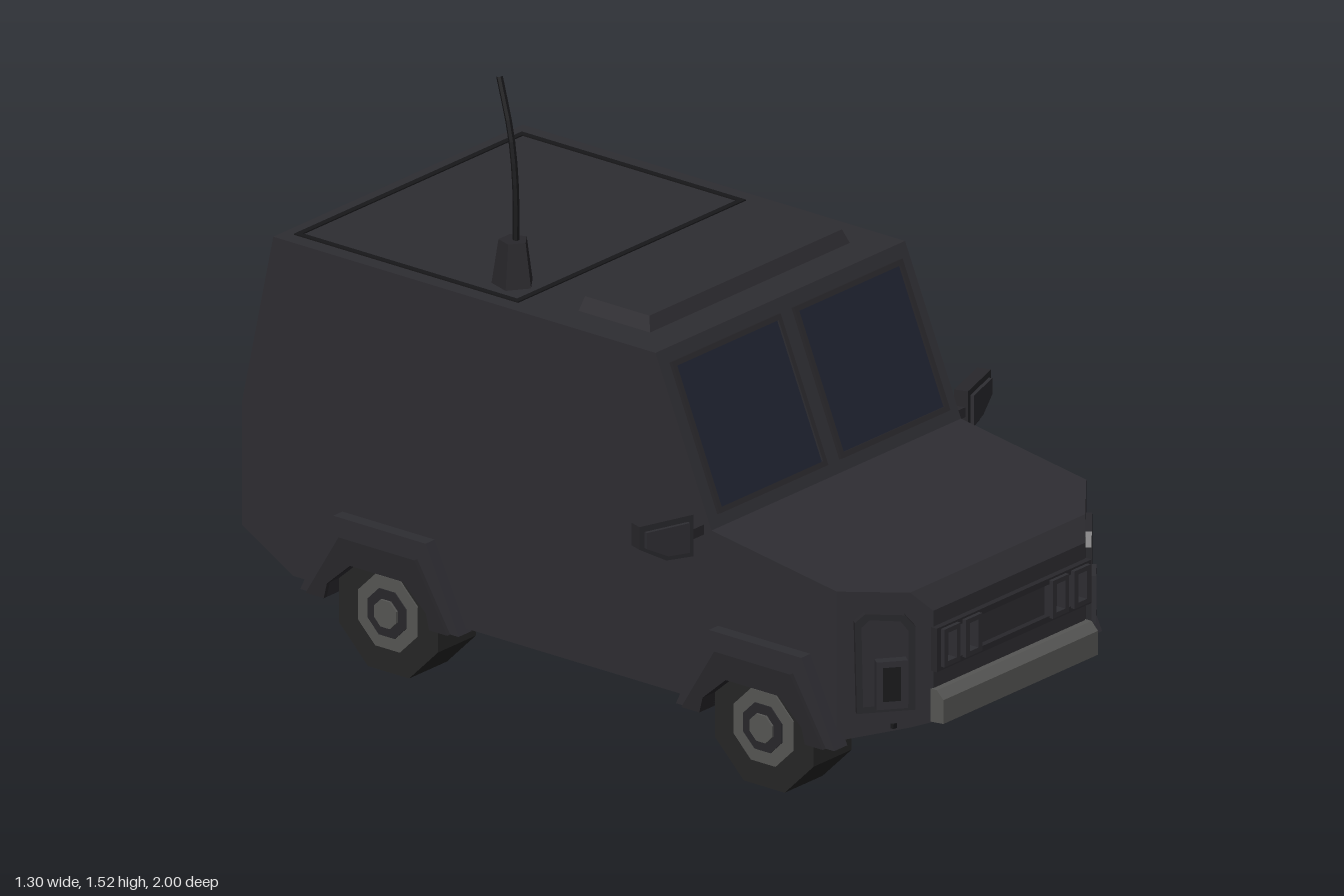
import * as THREE from 'three';

const mat = (color) => new THREE.MeshStandardMaterial({ color, flatShading: true });
const BODY = mat(0x2e2d32), TRIM = mat(0x28272b), GLASS = mat(0x1f2230), TYRE = mat(0x262626),
  STEEL = mat(0x565654), HANDLE = mat(0x72726e), BLACK = mat(0x18181a);

function add(parent, name, geo, material, x = 0, y = 0, z = 0) {
  const m = new THREE.Mesh(geo, material);
  m.name = name;
  m.position.set(x, y, z);
  parent.add(m);
  return m;
}
const box = (w, h, d) => new THREE.BoxGeometry(w, h, d);
const shapeOf = (pts) => new THREE.Shape(pts.map(([x, y]) => new THREE.Vector2(x, y)));
const rect = (x0, y0, x1, y1) => [[x0, y0], [x1, y0], [x1, y1], [x0, y1]];

function extrude(pts, depth, hole) {
  const s = shapeOf(pts);
  if (hole) s.holes.push(shapeOf(hole));
  return new THREE.ExtrudeGeometry(s, { depth, bevelEnabled: false });
}
// Side profile in (z, y), extruded from x0 to x1
const sideExtrude = (pts, x0, x1, hole) =>
  extrude(pts, x1 - x0, hole).rotateY(-Math.PI / 2).translate(x1, 0, 0);

// Shrink an outline toward its middle by t
function inset(pts, t) {
  const axis = [0, 1].map((k) => {
    const v = pts.map((p) => p[k]), lo = Math.min(...v), hi = Math.max(...v);
    return [(lo + hi) / 2, 1 - (2 * t) / (hi - lo)];
  });
  return pts.map((p) => p.map((v, k) => axis[k][0] + (v - axis[k][0]) * axis[k][1]));
}

// Rectangular rings [halfWidth, y0, y1, z] joined along +z, both ends closed
function loft(rings) {
  const pos = [], idx = [];
  rings.forEach(([w, a, b, z]) => pos.push(-w, a, z, w, a, z, w, b, z, -w, b, z));
  for (let i = 0; i < rings.length - 1; i++)
    for (let j = 0; j < 4; j++) {
      const a = i * 4 + j, b = i * 4 + ((j + 1) % 4);
      idx.push(a, b, b + 4, a, b + 4, a + 4);
    }
  const e = (rings.length - 1) * 4;
  idx.push(0, 2, 1, 0, 3, 2, e, e + 1, e + 2, e, e + 2, e + 3);
  let g = new THREE.BufferGeometry();
  g.setAttribute('position', new THREE.Float32BufferAttribute(pos, 3));
  g.setIndex(idx);
  g = g.toNonIndexed();
  g.computeVertexNormals();
  return g;
}

// Framed pane facing local +z, with optional upright bars at the given x
function makeWindow(name, pts, bars = [], barY = [0, 0]) {
  const g = new THREE.Group();
  g.name = name;
  add(g, 'frame', extrude(pts, 0.009, inset(pts, 0.013)), TRIM);
  add(g, 'glass', extrude(inset(pts, 0.012), 0.003), GLASS);
  bars.forEach((x) => add(g, 'bar', box(0.026, barY[1] - barY[0], 0.012), BODY, x, (barY[0] + barY[1]) / 2, 0.005));
  return g;
}

// Octagonal cylinder along x with a flat at the bottom
const octagon = (apothem, w) =>
  new THREE.CylinderGeometry(apothem / Math.cos(Math.PI / 8), apothem / Math.cos(Math.PI / 8), w, 8, 1, false, Math.PI / 8)
    .rotateZ(Math.PI / 2);

export function createModel() {
  const car = new THREE.Group();
  car.name = 'armouredCar';
  const axles = [0.6, -0.54];

  // Main hull with wheel notches
  const notch = (c) => [[c - 0.19, 0.17], [c - 0.11, 0.31], [c + 0.11, 0.31], [c + 0.19, 0.17]];
  const hull = [[0.82, 0.17], [0.82, 0.547], [0.44, 0.605], [0.27, 1.01], [-0.89, 1.01], [-0.985, 0.57],
    [-0.985, 0.26], [-0.83, 0.17], ...notch(axles[1]), ...notch(axles[0])];
  add(car, 'hull', sideExtrude(hull, -0.46, 0.46), BODY);
  add(car, 'nose', loft([[0.46, 0.17, 0.547, 0.82], [0.323, 0.19, 0.53, 0.93], [0.28, 0.2, 0.48, 0.965]]), BODY);

  // Grille and bumper
  const grille = add(car, 'grille', extrude(rect(-0.285, 0.33, 0.285, 0.44), 0.018, rect(-0.265, 0.345, 0.265, 0.425)), TRIM, 0, 0, 0.962);
  for (const x of [0.16, 0.24, -0.16, -0.24])
    add(grille, 'grilleBlock', extrude(rect(-0.03, 0.34, 0.03, 0.435), 0.028, rect(-0.016, 0.352, 0.016, 0.423)), BODY, x, 0, 0);
  add(car, 'bumper', sideExtrude([[0.95, 0.2], [1, 0.205], [1, 0.265], [0.98, 0.285], [0.95, 0.285]], -0.285, 0.285), STEEL);
  add(car, 'lowerLip', box(0.72, 0.012, 0.06), BLACK, 0, 0.198, 0.88);

  // Windscreen and rear doors
  const screen = new THREE.Group();
  screen.name = 'windscreen';
  screen.position.set(0, 0.605, 0.44);
  screen.rotation.x = -Math.atan2(0.17, 0.405);
  const rear = new THREE.Group();
  rear.name = 'rearDoors';
  rear.position.set(0, 0.57, -0.985);
  rear.rotation.set(-Math.atan2(0.095, 0.44), Math.PI, 0, 'YXZ');
  for (const s of [1, -1]) {
    screen.add(makeWindow('windscreenPane', rect(s * 0.025, 0.03, s * 0.425, 0.405)));
    const bars = [0, 1, 2, 3, 4].map((i) => s * (0.09 + i * 0.07));
    rear.add(makeWindow('rearWindow', rect(s * 0.03, 0.085, s * 0.425, 0.41), bars, [0.095, 0.4]));
    add(car, 'rearHandle', extrude([[-0.055, 0], [0.055, 0], [0.035, 0.03], [-0.035, 0.03]], 0.02), HANDLE, s * 0.07, 0.54, -1.0);
  }
  add(rear, 'doorSeam', box(0.01, 0.43, 0.006), BLACK, 0, 0.22, 0);
  add(car, 'lowerDoorSeam', box(0.01, 0.29, 0.006), BLACK, 0, 0.42, -0.985);
  car.add(screen, rear);

  // Parts repeated on both sides
  for (const s of [1, -1]) {
    const side = new THREE.Group();
    side.name = s > 0 ? 'leftSide' : 'rightSide';
    side.position.x = s * 0.46;
    side.rotation.y = (s * Math.PI) / 2;
    const flip = (pts) => pts.map(([z, y]) => [-s * z, y]);
    side.add(makeWindow('frontWindow', flip([[0.385, 0.625], [0.24, 0.975], [-0.09, 0.975], [-0.09, 0.625]])));
    side.add(makeWindow('middleWindow', flip(rect(-0.4, 0.65, -0.18, 0.97))));
    side.add(makeWindow('rearSideWindow', flip([[-0.495, 0.655], [-0.495, 0.965], [-0.87, 0.965], [-0.925, 0.655]]),
      [-0.56, -0.64, -0.72, -0.8, -0.865].map((z) => -s * z), [0.665, 0.955]));
    for (const z of [-0.02, -0.35])
      add(side, 'doorHandle', extrude([[-0.06, 0], [0.06, 0], [0.035, 0.035], [-0.035, 0.035]], 0.022), HANDLE, -s * z, 0.52, 0);

    // Wheel arches: wide flare with a smaller raised band
    for (const c of axles) {
      const arch = (b, t, y) => [[c - b, 0.16], [c - t, y], [c + t, y], [c + b, 0.16],
        [c + 0.16, 0.16], [c + 0.15, 0.2], [c + 0.08, 0.262], [c - 0.08, 0.262], [c - 0.15, 0.2], [c - 0.16, 0.16]];
      const span = (d) => (s > 0 ? [0.445, 0.46 + d] : [-0.46 - d, -0.445]);
      add(car, 'archFlare', sideExtrude(arch(0.24, 0.14, 0.37), ...span(0.034)), BODY);
      add(car, 'archBand', sideExtrude(arch(0.215, 0.115, 0.325), ...span(0.045)), TRIM);

      const wheel = new THREE.Group();
      wheel.name = 'wheel';
      wheel.position.set(s * 0.39, 0.15, c);
      add(wheel, 'tyre', octagon(0.15, 0.14), TYRE);
      add(wheel, 'rim', octagon(0.09, 0.01), STEEL, s * 0.069);
      add(wheel, 'rimDish', octagon(0.058, 0.01), TRIM, s * 0.072);
      add(wheel, 'hubCap', octagon(0.034, 0.02), STEEL, s * 0.073);
      car.add(wheel);
    }

    // Headlight cluster on the angled corner
    const lamp = new THREE.Group();
    lamp.name = 'headlight';
    lamp.position.set(s * 0.37, 0, 0.892);
    lamp.rotation.y = s * Math.atan2(0.145, 0.18);
    const m = (pts) => pts.map(([x, y]) => [s * x, y]);
    const outline = m([[-0.07, 0.24], [0.07, 0.24], [0.075, 0.47], [0.05, 0.49], [-0.045, 0.48], [-0.07, 0.45]]);
    add(lamp, 'lampFrame', extrude(outline, 0.015, inset(outline, 0.016)), TRIM);
    const unit = m(rect(-0.05, 0.25, 0.025, 0.37));
    add(lamp, 'lampUnit', extrude(unit, 0.025, inset(unit, 0.015)), BODY);
    add(lamp, 'lampLens', extrude(inset(unit, 0.014), 0.012), BLACK);
    car.add(lamp);

    // Door mirror
    const mirror = new THREE.Group();
    mirror.name = 'mirror';
    mirror.position.set(s * 0.495, 0, 0.39);
    mirror.rotation.y = s * 0.32;
    const head = m([[0, 0.55], [0.075, 0.555], [0.15, 0.598], [0.15, 0.655], [0, 0.655]]);
    add(mirror, 'mirrorHead', extrude(head, 0.035), TRIM);
    add(mirror, 'mirrorFace', extrude(inset(head, 0.012), 0.004), GLASS, 0, 0, -0.003);
    add(mirror, 'mirrorBack', extrude(inset(head, 0.015), 0.01), BODY, 0, 0, 0.034);
    car.add(mirror);
    add(car, 'mirrorStalk', box(0.07, 0.025, 0.025), TRIM, s * 0.475, 0.602, 0.405);
  }

  // Underside drums and axles
  for (const c of axles) {
    add(car, 'axleDrum', octagon(0.15, 0.57), BLACK, 0, 0.217, c);
    add(car, 'axle', octagon(0.022, 0.68), BLACK, 0, 0.152, c);
  }

  // Roof hatch, roof panel border and antenna
  add(car, 'roofHatch', loft([[0.37, -0.18, 0.04, 1.005], [0.355, -0.165, 0.03, 1.045]]).rotateX(-Math.PI / 2), BODY);
  const panel = rect(-0.42, 0.18, 0.42, 0.86);
  add(car, 'roofPanelBorder', extrude(panel, 0.004, inset(panel, 0.015)).rotateX(-Math.PI / 2), BLACK, 0, 1.009, 0);
  add(car, 'antennaBase', new THREE.CylinderGeometry(0.036, 0.053, 0.115, 5), TRIM, -0.33, 1.063, -0.267);
  const whip = new THREE.CatmullRomCurve3([[1.1, -0.262], [1.25, -0.263], [1.38, -0.277], [1.52, -0.312]]
    .map(([y, z]) => new THREE.Vector3(-0.328, y, z)));
  add(car, 'antennaWhip', new THREE.TubeGeometry(whip, 8, 0.008, 6), BLACK);

  return car;
}
